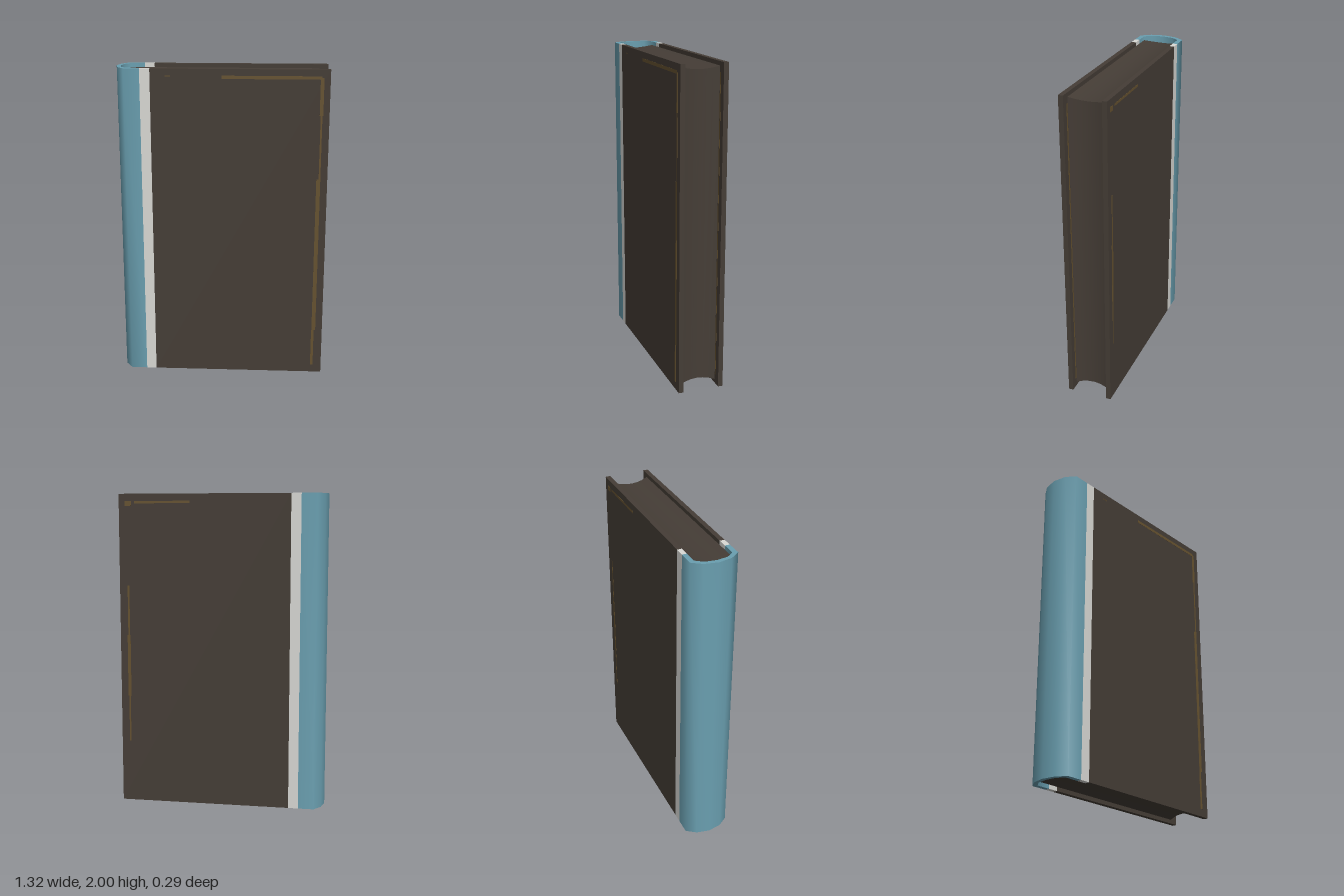
import * as THREE from 'three';
import { toCreasedNormals } from 'three/addons/utils/BufferGeometryUtils.js';

const H = 2, IN = 0.115, OUT = 0.145;
const SPINE_END = -0.5, BAND_END = -0.437, EDGE = 0.66;

function material(name, color) {
  const m = new THREE.MeshStandardMaterial({ color });
  m.name = name;
  return m;
}

export function createModel() {
  const leather = material('dark leather', 0x453d36);
  const blue = material('blue cloth', 0x6a9fb0);
  const white = material('white band', 0xd9d9d5);
  const gold = material('worn gold', 0x665230);

  const book = new THREE.Group();
  book.name = 'book';

  const add = (name, geometry, mat) => {
    const mesh = new THREE.Mesh(geometry, mat);
    mesh.name = name;
    book.add(mesh);
    return mesh;
  };
  // Box given by its limits on each axis
  const slab = (name, mat, x0, x1, y0, y1, z0, z1) => {
    const mesh = add(name, new THREE.BoxGeometry(x1 - x0, y1 - y0, Math.abs(z1 - z0)), mat);
    mesh.position.set((x0 + x1) / 2, (y0 + y1) / 2, (z0 + z1) / 2);
  };

  // Rounded spine: a thick C-shaped section swept up the full height
  const half = [[SPINE_END, OUT], [-0.6, OUT], [-0.643, 0.085]];
  const halfInner = [[-0.622, 0.07], [-0.588, IN], [SPINE_END, IN]];
  const flip = (pts) => pts.map(([x, z]) => [x, -z]).reverse();
  const section = [
    ...half, [-EDGE, 0], ...flip(half),
    ...flip(halfInner), [-0.632, 0], ...halfInner,
  ].map(([x, z]) => new THREE.Vector2(x, z));
  const spine = new THREE.ExtrudeGeometry(new THREE.Shape(section), { depth: H, bevelEnabled: false });
  spine.rotateX(-Math.PI / 2);
  add('spine', toCreasedNormals(spine, Math.PI / 3), blue);

  // Page block: hollowed top, bottom and fore-edge, rounded against the spine
  const pages = new THREE.BoxGeometry(2, 2, 2, 1, 1, 6);
  const p = pages.attributes.position;
  for (let i = 0; i < p.count; i++) {
    const t = p.getZ(i);
    const scoop = 1 - t * t;
    p.setXYZ(
      i,
      p.getX(i) > 0 ? 0.605 - 0.02 * scoop : -0.588 - 0.043 * scoop,
      p.getY(i) > 0 ? 1.975 - 0.018 * scoop : 0.025 + 0.018 * scoop,
      t * IN
    );
  }
  pages.computeVertexNormals();
  add('pages', pages, leather);

  // Worn gilt lines on the outer faces: x0, x1, y0, y1
  const frontLines = [
    [0, 0.61, 1.94, 1.96], [-0.345, -0.31, 1.953, 1.958],
    [0.6, 0.622, 1.72, 1.95], [0.606, 0.617, 1.32, 1.72],
    [0.592, 0.617, 0.3, 1.32], [0.59, 0.607, 0.05, 0.3],
  ];
  const backLines = [
    [0.2, 0.56, 1.94, 1.955], [0.58, 0.62, 1.925, 1.955],
    [0.598, 0.61, 1.1, 1.42], [0.595, 0.615, 0.7, 1.1], [0.6, 0.61, 0.4, 0.7],
  ];

  for (const [side, s, lines] of [['front', 1, frontLines], ['back', -1, backLines]]) {
    slab(side + 'Board', leather, BAND_END, EDGE, 0, H, s * IN, s * OUT);
    slab(side + 'Band', white, SPINE_END, BAND_END, 0, H, s * IN, s * OUT);
    lines.forEach(([x0, x1, y0, y1]) =>
      slab(side + 'GiltLine', gold, x0, x1, y0, y1, s * (OUT - 0.001), s * (OUT + 0.001)));
    // Gilt line on the inside of the overhanging board edge
    slab(side + 'InnerGiltLine', gold, 0.608, 0.62, 0.06, 1.94, s * (IN - 0.001), s * (IN + 0.001));
  }

  return book;
}
